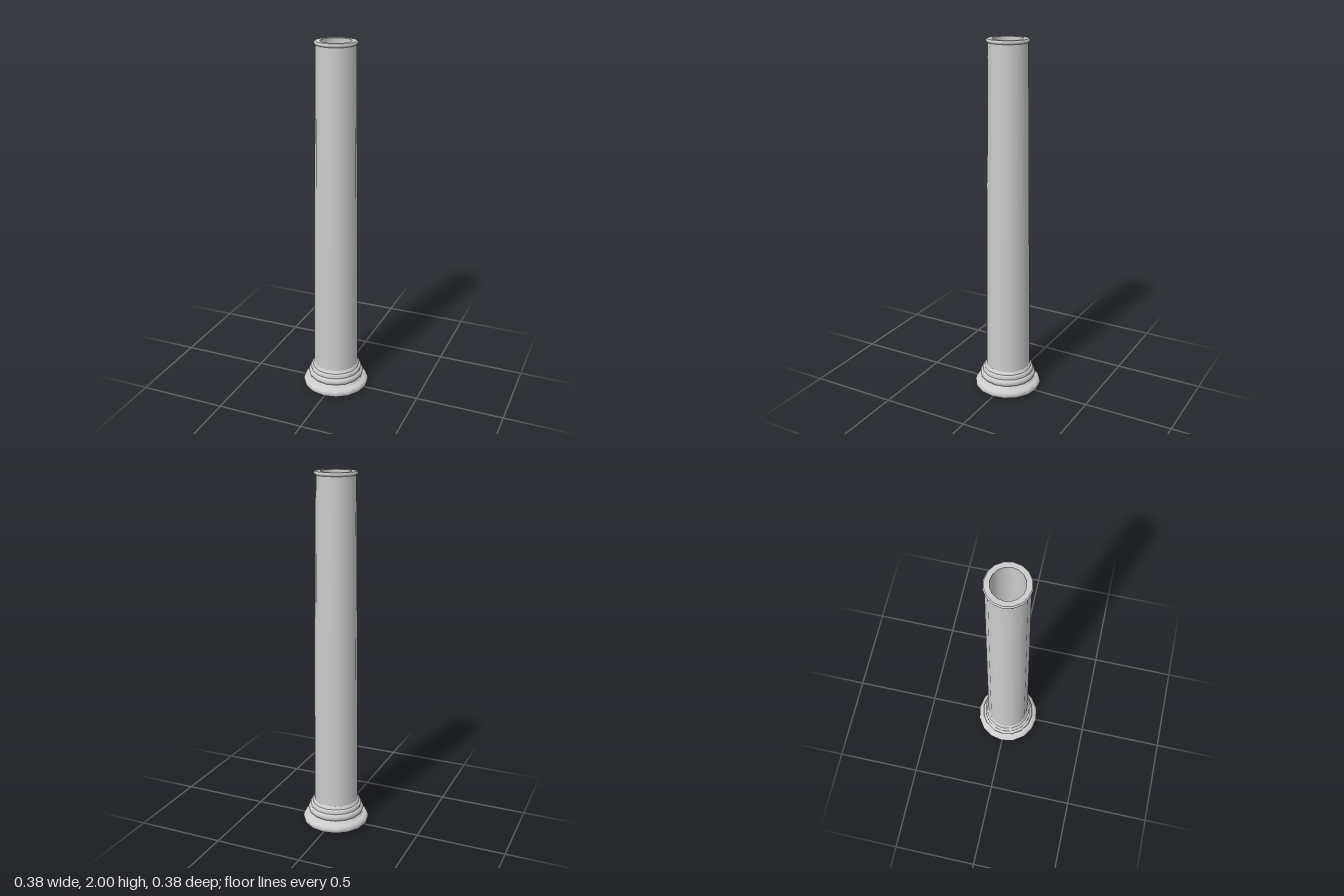
import * as THREE from 'three';

const SIDES = 16;

export function createModel() {
  const column = new THREE.Group();
  column.name = 'column';
  const stone = new THREE.MeshStandardMaterial({ color: 0xcccccc });
  stone.name = 'pale stone';

  // Each part is a turned profile of [radius, height]; separate parts keep crisp edges.
  const turn = (name, profile) => {
    const points = profile.map(([r, y]) => new THREE.Vector2(r, y));
    const mesh = new THREE.Mesh(new THREE.LatheGeometry(points, SIDES), stone);
    mesh.name = name;
    column.add(mesh);
  };

  // Base mouldings, from the ground up
  turn('baseUnderside', [[0, 0], [0.178, 0]]);
  turn('lowerTorus', [[0.178, 0], [0.187, 0.008], [0.19, 0.022], [0.186, 0.034], [0.175, 0.043], [0.16, 0.047]]);
  turn('lowerStep', [[0.16, 0.047], [0.155, 0.052], [0.149, 0.06]]);
  turn('upperTorus', [[0.149, 0.06], [0.157, 0.068], [0.161, 0.08], [0.157, 0.092], [0.147, 0.1]]);
  turn('upperFillet', [[0.147, 0.1], [0.147, 0.115], [0.143, 0.121], [0.135, 0.123]]);
  turn('baseNeck', [[0.135, 0.123], [0.132, 0.132], [0.126, 0.14]]);

  // Shaft with a gentle swelling taper
  const shaft = [];
  for (let i = 0; i <= 8; i++) {
    const t = i / 8;
    shaft.push([0.126 - 0.015 * t - 0.005 * t * t, 0.14 + 1.84 * t]);
  }
  turn('shaft', shaft);

  // Rolled lip and hollow top
  turn('lip', [[0.106, 1.98], [0.112, 1.983], [0.115, 1.99], [0.113, 1.997], [0.109, 2]]);
  turn('rimTop', [[0.109, 2], [0.083, 2]]);
  turn('boreWall', [[0.083, 2], [0.083, 0.14]]);
  turn('boreFloor', [[0.083, 0.14], [0, 0.14]]);

  return column;
}
